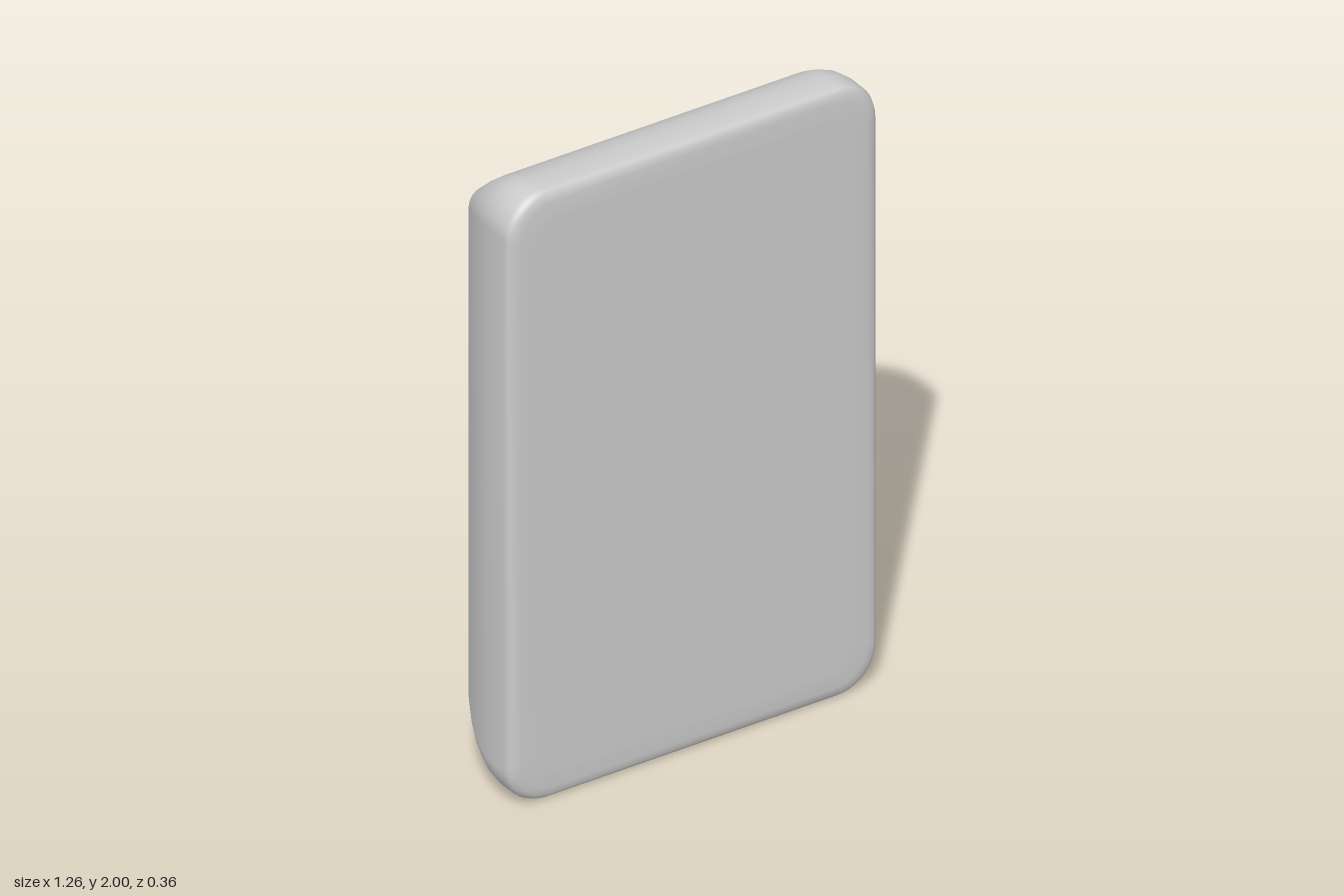
import * as THREE from 'three';

const material = new THREE.MeshStandardMaterial({ color: 0xcccccc });
const SOCKET_Y = [0.57, 1.43];
const SOCKET_R = 0.342, RIM_R = 0.355, DEPTH = 0.18;
const PIN_X = 0.15, PIN_R = 0.058, PIN_DEPTH = 0.12;
const BACK_Z = -0.178;

// Housing sections from front to back: z, half width, half height, corner radius
const SECTIONS = [
  [0.174, 0.54, 0.91, 0.08], [0.173, 0.59, 0.96, 0.11], [0.169, 0.612, 0.982, 0.125],
  [0.16, 0.625, 0.994, 0.13], [0.145, 0.63, 0.999, 0.13], [0.09, 0.63, 1.0, 0.13],
  [0.04, 0.625, 0.991, 0.125], [0, 0.615, 0.973, 0.115], [-0.04, 0.602, 0.949, 0.1],
  [-0.085, 0.583, 0.914, 0.08], [-0.153, 0.547, 0.855, 0.05], [-0.168, 0.534, 0.84, 0.045],
  [-0.175, 0.515, 0.821, 0.04], [BACK_Z, 0.49, 0.8, 0.03],
];

// Counter-clockwise rounded rectangle around the origin
function roundedRing(hw, hh, r, steps = 10) {
  const points = [];
  [[1, 1], [-1, 1], [-1, -1], [1, -1]].forEach(([sx, sy], corner) => {
    for (let i = 0; i <= steps; i++) {
      const a = (corner + i / steps) * Math.PI / 2;
      points.push(new THREE.Vector2(sx * (hw - r) + r * Math.cos(a), sy * (hh - r) + r * Math.sin(a)));
    }
  });
  return points;
}

function circleHole(x, y, r) {
  const path = new THREE.Path();
  path.absarc(x, y, r, 0, Math.PI * 2, true);
  return path;
}

function addMesh(parent, name, geometry, x = 0, y = 0, z = 0) {
  const mesh = new THREE.Mesh(geometry, material);
  mesh.name = name;
  mesh.position.set(x, y, z);
  parent.add(mesh);
  return mesh;
}

// Skin through all the sections
function housingGeometry() {
  const positions = [], index = [];
  let n = 0;
  SECTIONS.forEach(([z, hw, hh, r], k) => {
    const ring = roundedRing(hw, hh, r);
    n = ring.length;
    ring.forEach((p) => positions.push(p.x, p.y, z));
    if (k === SECTIONS.length - 1) return;
    for (let j = 0; j < n; j++) {
      const a = k * n + j, c = k * n + (j + 1) % n;
      index.push(a, a + n, c, a + n, c + n, c);
    }
  });
  const geometry = new THREE.BufferGeometry();
  geometry.setAttribute('position', new THREE.Float32BufferAttribute(positions, 3));
  geometry.setIndex(index);
  geometry.computeVertexNormals();
  return geometry;
}

// Inward-facing recess opening towards -z; profile runs from rim to floor
function recessGeometry(profile, segments) {
  const points = profile.map(([r, y]) => new THREE.Vector2(r, y));
  return new THREE.LatheGeometry(points, segments).rotateX(-Math.PI / 2);
}

function createSocket() {
  const socket = new THREE.Group();
  socket.name = 'socket';
  addMesh(socket, 'socketWall', recessGeometry([
    [RIM_R, 0], [0.349, -0.002], [0.344, -0.007], [SOCKET_R, -0.014], [SOCKET_R, -0.03], [SOCKET_R, -DEPTH],
  ], 64));

  const floor = new THREE.Shape();
  floor.absarc(0, 0, SOCKET_R, 0, Math.PI * 2, false);
  for (const side of [-1, 1]) {
    floor.holes.push(circleHole(side * PIN_X, 0, PIN_R));
    addMesh(socket, 'pinHoleWall', recessGeometry([[PIN_R, 0], [PIN_R, -PIN_DEPTH]], 32), side * PIN_X, 0, DEPTH);
    addMesh(socket, 'pinHoleBottom', new THREE.CircleGeometry(PIN_R, 32).rotateY(Math.PI),
      side * PIN_X, 0, DEPTH + PIN_DEPTH);
  }
  addMesh(socket, 'socketFloor', new THREE.ShapeGeometry(floor, 32).rotateY(Math.PI), 0, 0, DEPTH);
  return socket;
}

export function createModel() {
  const model = new THREE.Group();
  model.name = 'doubleWallSocket';

  addMesh(model, 'housing', housingGeometry(), 0, 1, 0);

  // Plain flat panel
  const [frontZ, ...frontSize] = SECTIONS[0];
  addMesh(model, 'mountingPanel', new THREE.ShapeGeometry(new THREE.Shape(roundedRing(...frontSize))), 0, 1, frontZ);

  // Socket panel with two round openings
  const [backZ, ...backSize] = SECTIONS[SECTIONS.length - 1];
  const face = new THREE.Shape(roundedRing(...backSize));
  for (const y of SOCKET_Y) face.holes.push(circleHole(0, y - 1, RIM_R));
  addMesh(model, 'socketPanel', new THREE.ShapeGeometry(face, 32).rotateY(Math.PI), 0, 1, backZ);

  for (const y of SOCKET_Y) {
    const socket = createSocket();
    socket.position.set(0, y, backZ);
    model.add(socket);
  }

  // Very slight turn about the vertical axis
  model.rotation.y = 0.01;
  return model;
}
